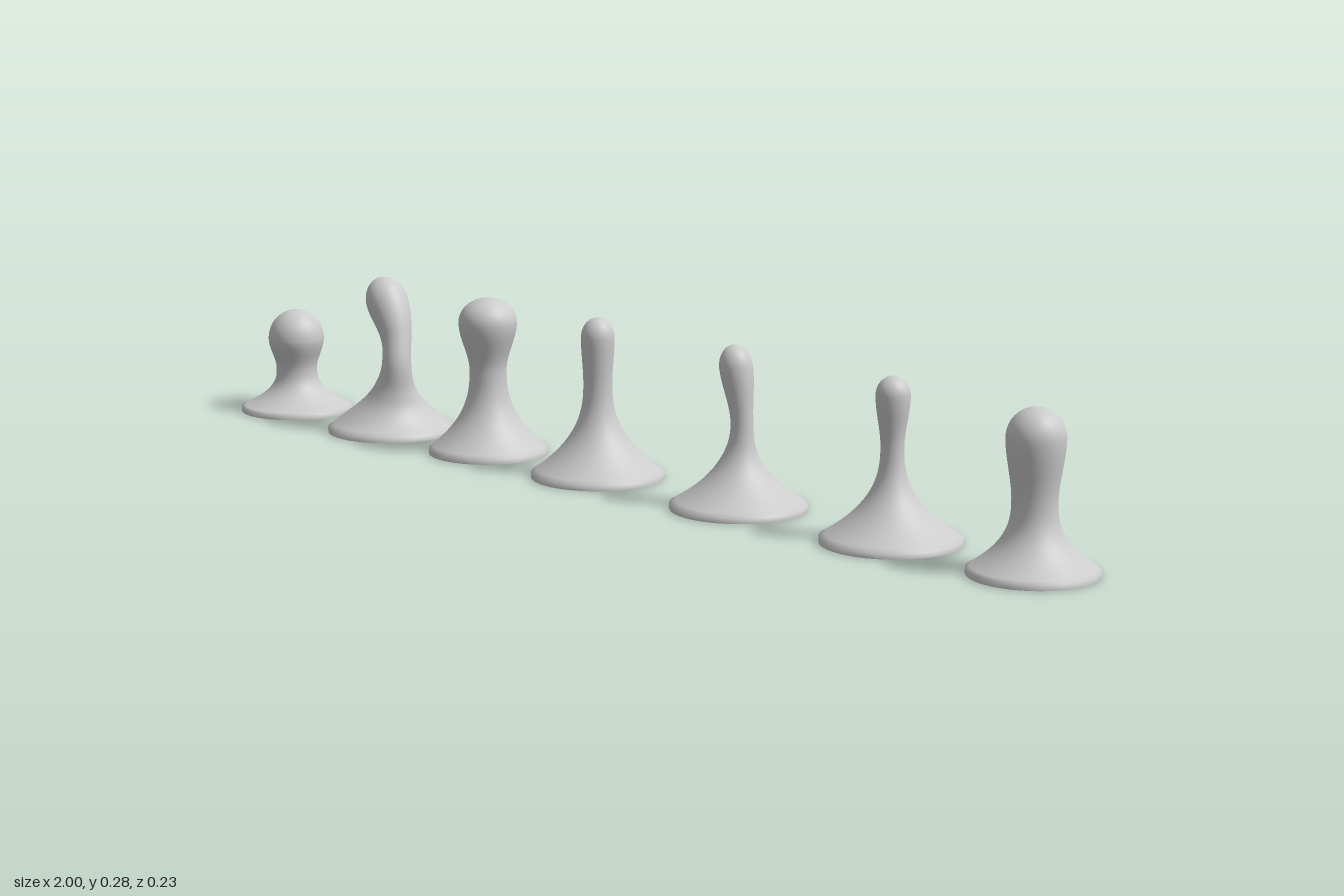
import * as THREE from 'three';
import { mergeVertices } from 'three/addons/utils/BufferGeometryUtils.js';

const material = new THREE.MeshStandardMaterial({ color: 0xcccccc });
const { lerp, smoothstep, clamp } = THREE.MathUtils;
const RIM = 0.009;

// Outline by rule: thin rim, concave flare to the neck, swell to the head, round tip
function outline({ foot, neck, neckY, head, headY, length }) {
  const pts = [new THREE.Vector2(foot, 0)];
  for (let i = 0; i <= 24; i++) {
    const t = i / 24;
    pts.push(new THREE.Vector2(neck + (foot - neck) * (1 - t) ** 2.5, lerp(RIM, neckY, t)));
  }
  for (let i = 1; i <= 16; i++) {
    const t = i / 16;
    pts.push(new THREE.Vector2(lerp(neck, head, smoothstep(t, 0, 1)), lerp(neckY, headY, t)));
  }
  for (let i = 1; i <= 12; i++) {
    const a = (i / 12) * Math.PI / 2;
    pts.push(new THREE.Vector2(i < 12 ? head * Math.cos(a) : 0, lerp(headY, length, Math.sin(a))));
  }
  return pts;
}

// Sweep a straight body along a bent spine; rings stay level near the foot
function bend(geo, length, spine) {
  const path = new THREE.CatmullRomCurve3(spine.map((p) => new THREE.Vector3(...p)));
  const up = new THREE.Vector3(0, 1, 0);
  const pos = geo.attributes.position;
  const v = new THREE.Vector3();
  for (let i = 0; i < pos.count; i++) {
    v.fromBufferAttribute(pos, i);
    const u = clamp(v.y / length, 0, 1);
    const full = new THREE.Quaternion().setFromUnitVectors(up, path.getTangentAt(u));
    const turn = new THREE.Quaternion().slerp(full, smoothstep(u, 0.12, 0.6));
    v.setY(0).applyQuaternion(turn).add(path.getPointAt(u));
    pos.setXYZ(i, v.x, v.y, v.z);
  }
  geo.deleteAttribute('uv');
  geo.deleteAttribute('normal');
  const merged = mergeVertices(geo, 1e-5);
  merged.computeVertexNormals();
  return merged;
}

// Radii and heights of each piece, in a row along x
const pieces = [
  { name: 'shortRoundPiece', x: -0.895, foot: 0.105, neck: 0.038, neckY: 0.08, head: 0.052, headY: 0.138, length: 0.192 },
  { name: 'curvedPiece', x: -0.622, foot: 0.116, neck: 0.026, neckY: 0.165, head: 0.038, headY: 0.262, length: 0.31,
    spine: [[0, 0, 0], [0, 0.03, 0], [0.024, 0.08, 0.012], [0.038, 0.13, 0.018], [0.024, 0.19, 0.008], [-0.033, 0.279, -0.004]] },
  { name: 'broadHeadPiece', x: -0.355, foot: 0.107, neck: 0.033, neckY: 0.15, head: 0.052, headY: 0.236, length: 0.28 },
  { name: 'slimPiece', x: -0.073, foot: 0.116, neck: 0.025, neckY: 0.165, head: 0.029, headY: 0.245, length: 0.28 },
  { name: 'leaningPiece', x: 0.265, foot: 0.116, neck: 0.019, neckY: 0.15, head: 0.028, headY: 0.24, length: 0.277,
    spine: [[0, 0, 0], [0.002, 0.07, 0], [0.006, 0.15, 0], [-0.015, 0.275, 0]] },
  { name: 'smallHeadPiece', x: 0.602, foot: 0.116, neck: 0.019, neckY: 0.155, head: 0.028, headY: 0.24, length: 0.271 },
  { name: 'stoutPiece', x: 0.893, foot: 0.105, neck: 0.036, neckY: 0.115, head: 0.047, headY: 0.215, length: 0.263 },
];

export function createModel() {
  const model = new THREE.Group();
  for (const p of pieces) {
    const piece = new THREE.Group();
    piece.name = p.name;
    piece.position.x = p.x;

    // flared foot, neck and rounded head
    const straight = new THREE.LatheGeometry(outline(p), 48);
    const body = new THREE.Mesh(p.spine ? bend(straight, p.length, p.spine) : straight, material);
    body.name = 'body';

    // flat underside
    const base = new THREE.Mesh(new THREE.CircleGeometry(p.foot, 48).rotateX(Math.PI / 2), material);
    base.name = 'underside';

    piece.add(body, base);
    model.add(piece);
  }
  return model;
}
